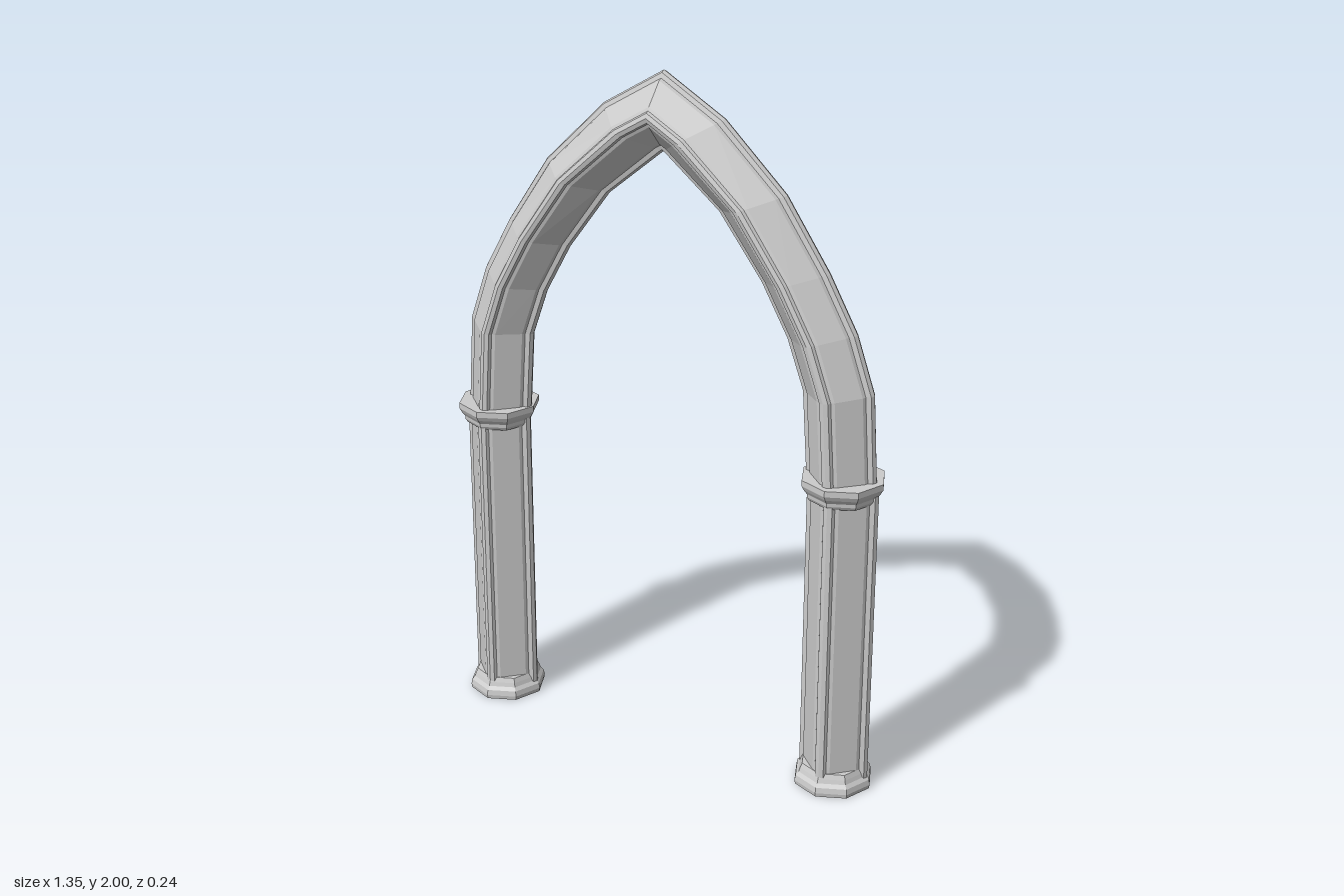
import * as THREE from 'three';

const material = new THREE.MeshStandardMaterial({ color: 0xcccccc, flatShading: true });

// Cross-section: a square set on its corner, with a small roll moulding on every corner.
// u runs from -1 (inner edge) to 1 (outer edge), z is depth.
function mouldedSection() {
  const quadrant = [[1, 0], [0.95, 0.012], [0.82, 0.016], [0.78, 0.026],
    [0.25, 0.081], [0.16, 0.085], [0.12, 0.094], [0, 0.098]];
  const half = [...quadrant, ...quadrant.slice(0, -1).reverse().map(([u, z]) => [-u, z])];
  return [...half, ...half.slice(1, -1).reverse().map(([u, z]) => [u, -z])];
}

// Sweep the section through frames given as [outerX, outerY, innerX, innerY].
function loft(frames) {
  const section = mouldedSection();
  const n = section.length;
  const positions = [];
  const index = [];
  frames.forEach(([ox, oy, ix, iy], i) => {
    section.forEach(([u, z], j) => {
      const t = (u + 1) / 2;
      positions.push(ix + (ox - ix) * t, iy + (oy - iy) * t, z);
      if (i === frames.length - 1) return;
      const k = (j + 1) % n;
      const a = i * n + j, b = i * n + k, c = a + n, d = b + n;
      index.push(a, c, b, b, c, d);
    });
  });
  const geometry = new THREE.BufferGeometry();
  geometry.setAttribute('position', new THREE.Float32BufferAttribute(positions, 3));
  geometry.setIndex(index);
  geometry.computeVertexNormals();
  return geometry;
}

function part(name, geometry) {
  const mesh = new THREE.Mesh(geometry, material);
  mesh.name = name;
  return mesh;
}

// Eight-sided turned block with corners on the x and z axes
function octagonal(profile) {
  return new THREE.LatheGeometry(profile.map(([r, y]) => new THREE.Vector2(r, y)), 8);
}

function createColumn(name) {
  const column = new THREE.Group();
  column.name = name;
  column.add(
    part('base', octagonal([[0, 0], [0.114, 0], [0.116, 0.012], [0.113, 0.028],
      [0.104, 0.038], [0.1, 0.05], [0.094, 0.064], [0, 0.064]])),
    part('shaft', loft([[0.107, 0.03, -0.107, 0.03], [0.107, 0.93, -0.107, 0.93]])),
    part('capital', octagonal([[0, 0.89], [0.096, 0.89], [0.102, 0.9], [0.103, 0.91],
      [0.112, 0.922], [0.119, 0.935], [0.119, 0.952], [0, 0.952]])),
  );
  return column;
}

export function createModel() {
  const model = new THREE.Group();
  model.name = 'pointedArch';

  // Columns
  for (const [name, side] of [['leftColumn', 1], ['rightColumn', -1]]) {
    const column = createColumn(name);
    column.position.x = side * 0.557;
    model.add(column);
  }

  // Pointed arch: one side from springing to apex, then mirrored down the other
  const rise = [
    [0.657, 0.93, 0.447, 0.93],
    [0.64, 1.2, 0.43, 1.18],
    [0.585, 1.36, 0.38, 1.32],
    [0.5, 1.515, 0.3, 1.465],
    [0.37, 1.71, 0.17, 1.64],
    [0.185, 1.89, 0, 1.78],
    [0, 2, 0, 1.78],
  ];
  const fall = rise.slice(0, -1).reverse().map(([ox, oy, ix, iy]) => [-ox, oy, -ix, iy]);
  model.add(part('arch', loft([...rise, ...fall])));

  return model;
}
